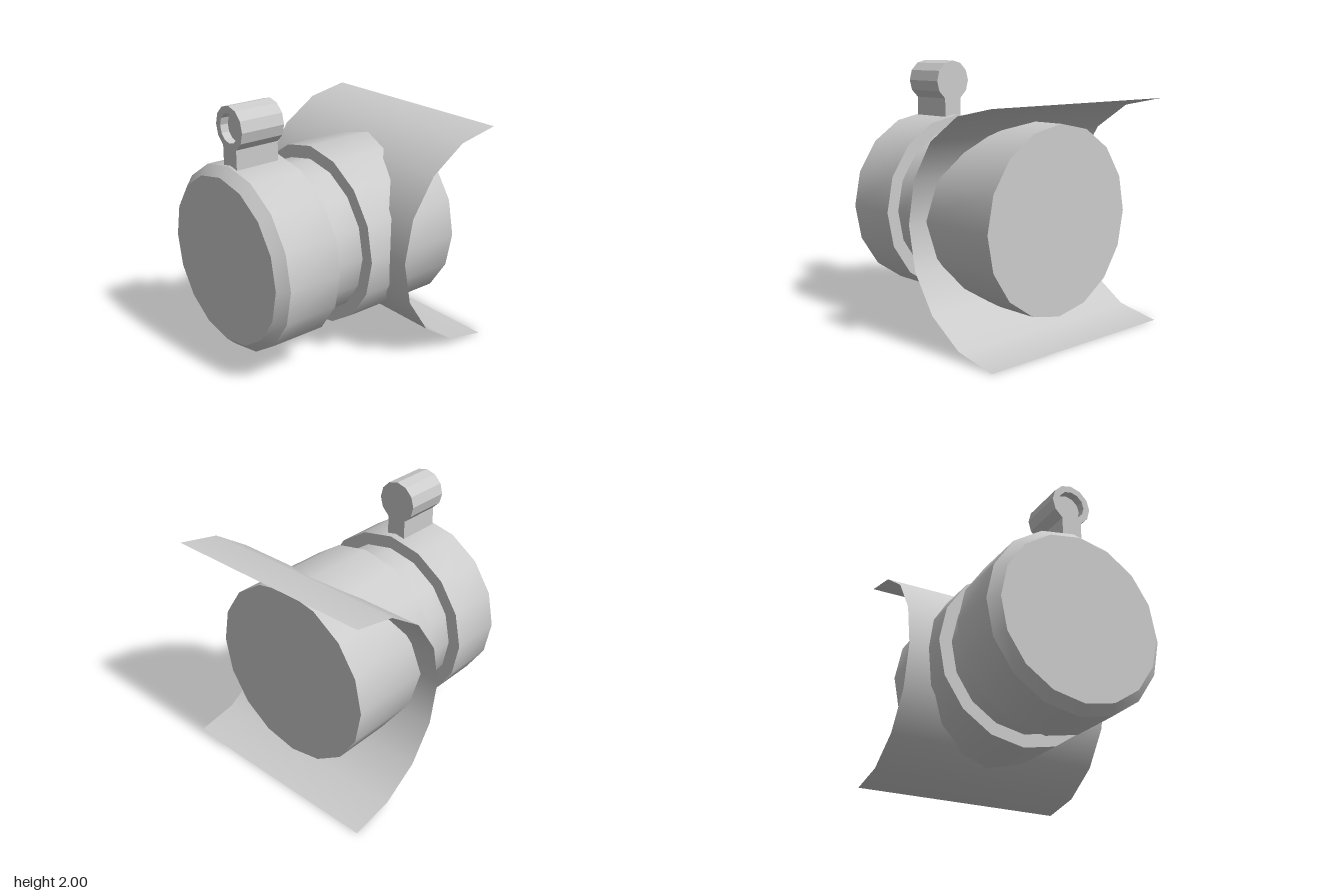
import * as THREE from 'three';
import { toCreasedNormals } from 'three/addons/utils/BufferGeometryUtils.js';

const CENTER_Y = 0.866;

export function createModel() {
  const group = new THREE.Group();
  const grey = new THREE.MeshStandardMaterial({ color: 0xcccccc });
  const greyThin = new THREE.MeshStandardMaterial({ color: 0xcccccc, side: THREE.DoubleSide });

  const add = (name, geometry, material = grey) => {
    const mesh = new THREE.Mesh(geometry, material);
    mesh.name = name;
    group.add(mesh);
    return mesh;
  };

  // Sixteen-sided drum along z: back section, groove, front section, chamfer
  const profile = [
    [0, -0.71], [0.706, -0.71], [0.706, 0.12], [0.605, 0.12], [0.605, 0.415],
    [0.706, 0.415], [0.706, 0.846], [0.636, 0.92], [0, 0.92],
  ].map(([r, z]) => new THREE.Vector2(r, z));
  const drum = new THREE.LatheGeometry(profile, 16).rotateX(Math.PI / 2);
  add('drum', toCreasedNormals(drum, 0.6)).position.y = CENTER_Y;

  // Thin half-cylinder saddle along x, bulging to the front and open at the back
  const saddle = new THREE.CylinderGeometry(0.864, 0.864, 1.724, 8, 1, true, -Math.PI / 2, Math.PI);
  saddle.rotateZ(Math.PI / 2);
  add('saddle', saddle, greyThin).position.set(0, 0.864, -0.92);

  // Keyhole-shaped lug: a twelve-sided eye on a narrow stem
  const eyeY = 1.84;
  const ring = (radius, first, last) => {
    const points = [];
    for (let i = first; i <= last; i++) {
      const a = (i * Math.PI) / 6 - Math.PI / 2;
      points.push(new THREE.Vector2(radius * Math.cos(a), eyeY + radius * Math.sin(a)));
    }
    return points;
  };
  const lugShape = () => new THREE.Shape([
    new THREE.Vector2(-0.08, 1.553), new THREE.Vector2(0.08, 1.553), ...ring(0.16, 1, 11),
  ]);
  const extrude = (shape, from, to) =>
    new THREE.ExtrudeGeometry(shape, { depth: to - from, bevelEnabled: false }).translate(0, 0, from);

  // Solid rear of the lug, then the front slice with the blind hole
  add('lugBack', extrude(lugShape(), 0.475, 0.765));
  const front = lugShape();
  front.holes.push(new THREE.Path(ring(0.108, 0, 11)));
  add('lugFront', extrude(front, 0.765, 0.828));

  return group;
}
